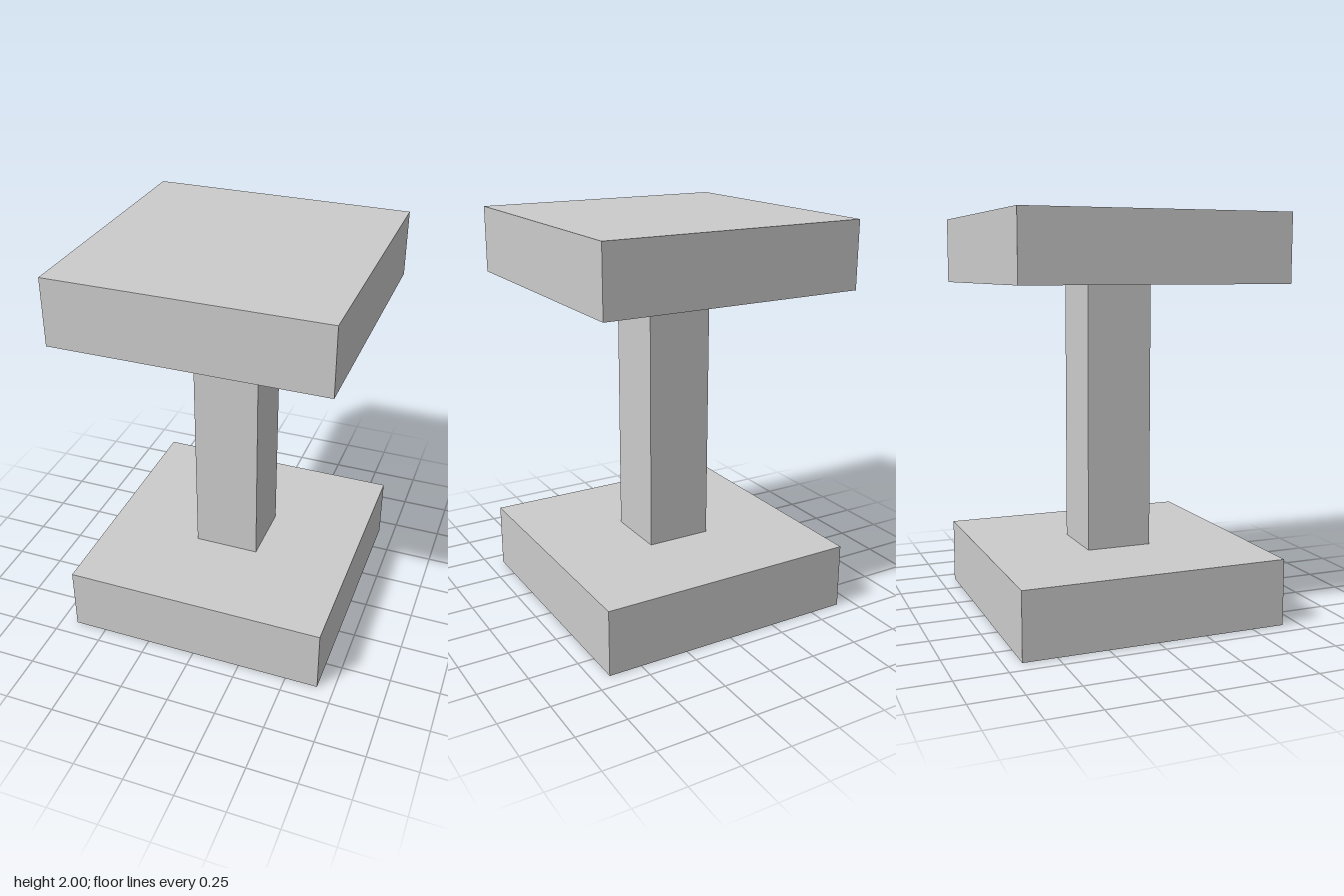
import * as THREE from 'three';

const UNIT = 1 / 3; // slab thickness and post width

export function createModel() {
  const model = new THREE.Group();
  model.name = 'pedestal';
  const material = new THREE.MeshStandardMaterial({ color: 0xcccccc, flatShading: true });

  // Square block standing on height y
  function addBlock(name, width, height, y) {
    const mesh = new THREE.Mesh(new THREE.BoxGeometry(width, height, width), material);
    mesh.name = name;
    mesh.position.y = y + height / 2;
    model.add(mesh);
  }

  addBlock('base', 4 * UNIT, UNIT, 0);
  addBlock('post', UNIT, 4 * UNIT, UNIT);
  addBlock('top', 4 * UNIT, UNIT, 5 * UNIT);

  return model;
}
